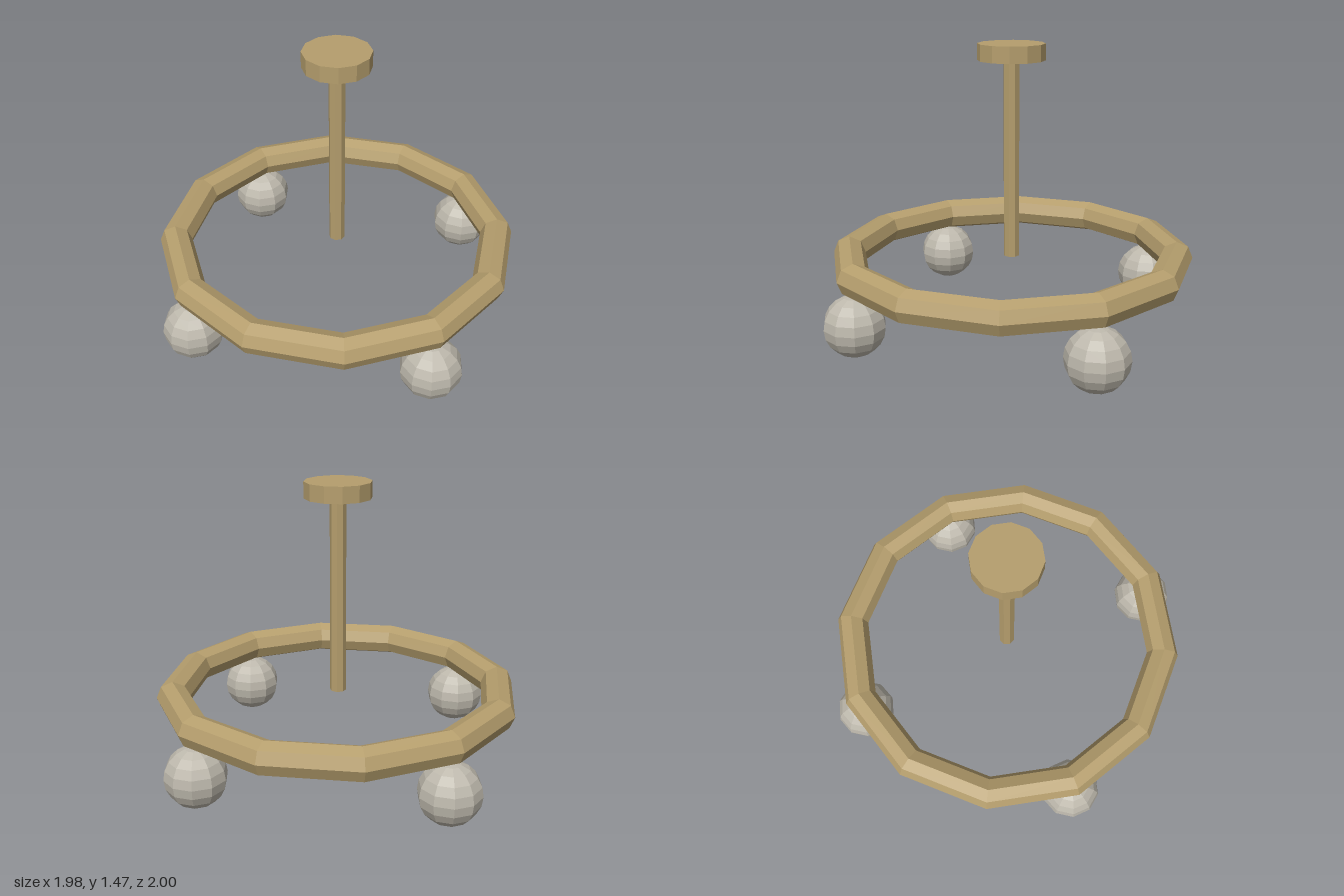
import * as THREE from 'three';

export function createModel() {
  const group = new THREE.Group();
  const brass = new THREE.MeshStandardMaterial({ color: 0xb59e6d, flatShading: true });
  const pearl = new THREE.MeshStandardMaterial({ color: 0xbdb8ac, flatShading: true });

  const add = (name, geometry, material, x, y, z) => {
    const mesh = new THREE.Mesh(geometry, material);
    mesh.name = name;
    mesh.position.set(x, y, z);
    group.add(mesh);
    return mesh;
  };

  // Ceiling plate and the rod hanging down to the level of the ring
  add('ceilingPlate', new THREE.CylinderGeometry(0.168, 0.168, 0.082, 12), brass, 0, 1.427, 0);
  add('rod', new THREE.CylinderGeometry(0.041, 0.041, 1.002, 8), brass, 0, 0.886, 0);

  // Twelve-sided ring with an octagonal section
  const ring = new THREE.TorusGeometry(0.843, 0.083, 8, 12).rotateX(-Math.PI / 2);
  add('ring', ring, brass, 0, 0.385, 0);

  // Four globes under the ring, all turned the same way
  const globe = new THREE.SphereGeometry(0.154, 10, 10).rotateY(Math.PI / 2);
  for (const [name, x, z] of [['leftGlobe', 1, 0], ['rightGlobe', -1, 0], ['frontGlobe', 0, 1], ['backGlobe', 0, -1]]) {
    add(name, globe, pearl, x * 0.846, 0.154, z * 0.846);
  }
  return group;
}
